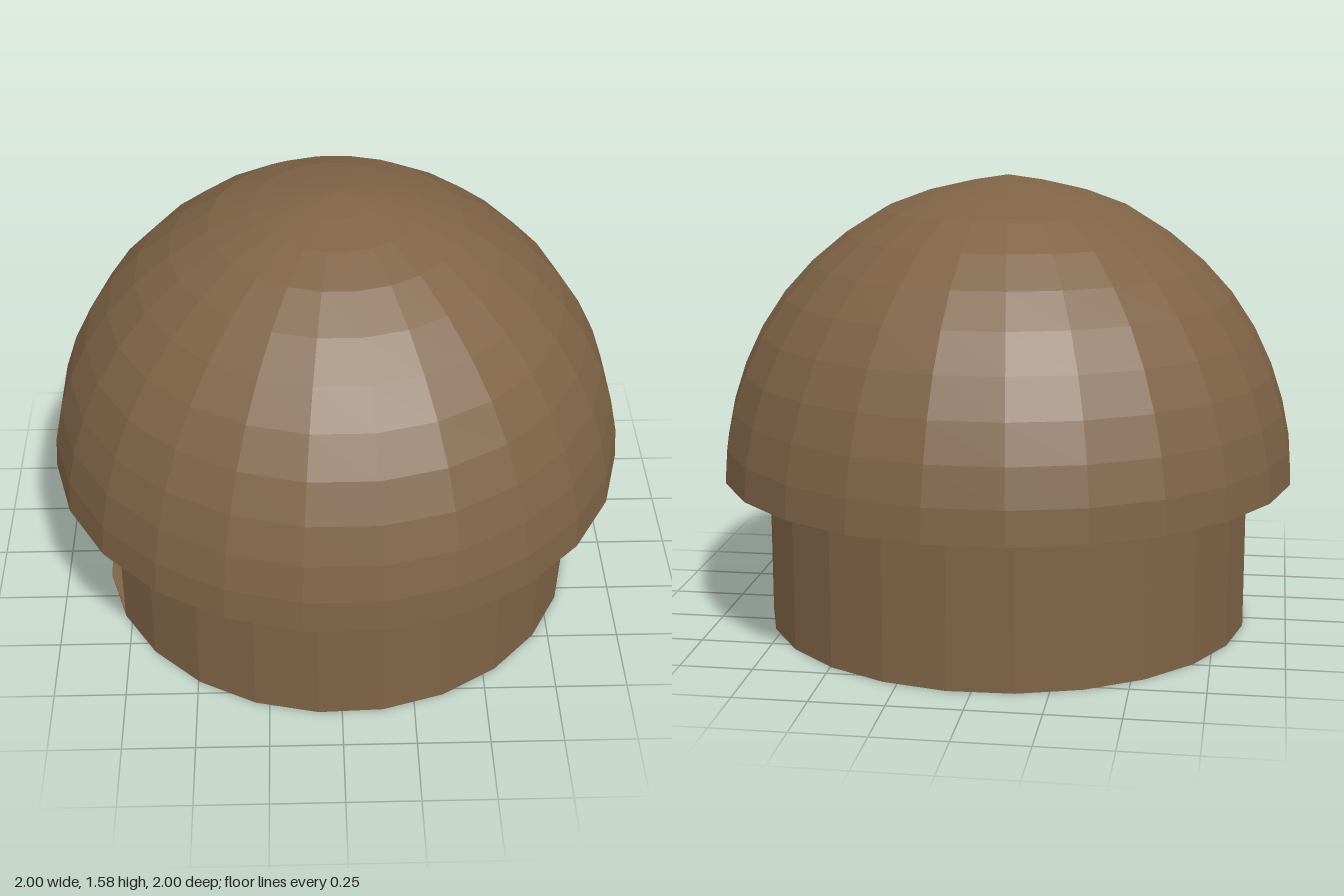
import * as THREE from 'three';

const SIDES = 24;
const STEP = (Math.PI * 2) / SIDES;
const WALL_R = 0.853, CORE_R = 0.78, WALL_TOP = 0.72;
const DOOR_END = THREE.MathUtils.degToRad(-65.5); // wall starts here, doorway is the two facets before it
const DOOR_FACETS = 2;

export function createModel() {
  const group = new THREE.Group();
  const brown = new THREE.MeshStandardMaterial({ color: 0x7f6346, flatShading: true, side: THREE.DoubleSide });
  brown.name = 'brown';
  const black = new THREE.MeshStandardMaterial({ color: 0x080808, flatShading: true });
  black.name = 'black';

  const add = (name, geometry, material, y = 0) => {
    const mesh = new THREE.Mesh(geometry, material);
    mesh.name = name;
    mesh.position.y = y;
    group.add(mesh);
  };

  // Faceted round wall, left open at the doorway
  const ringPoint = (r, i) => {
    const a = DOOR_END + i * STEP;
    return new THREE.Vector2(r * Math.sin(a), -r * Math.cos(a));
  };
  const outer = [], inner = [];
  for (let i = 0; i <= SIDES - DOOR_FACETS; i++) {
    outer.push(ringPoint(WALL_R, i));
    inner.unshift(ringPoint(CORE_R, i));
  }
  const wall = new THREE.ExtrudeGeometry(new THREE.Shape([...outer, ...inner]), { depth: WALL_TOP, bevelEnabled: false });
  wall.rotateX(-Math.PI / 2);
  add('wall', wall, brown);

  // Floor plate, also the doorstep
  add('floor', new THREE.CylinderGeometry(WALL_R - 0.001, WALL_R - 0.001, 0.006, SIDES, 1, false, DOOR_END), brown, 0.003);

  // Dark interior behind the doorway
  const coreHeight = WALL_TOP - 0.008;
  add('darkInterior', new THREE.CylinderGeometry(CORE_R - 0.001, CORE_R - 0.001, coreHeight, SIDES, 1, false, DOOR_END),
    black, 0.007 + coreHeight / 2);

  // Overhanging domed roof with a slight point
  const profile = [
    [1.0085, 0.535], [1.0, 0.65], [0.973, 0.78], [0.93, 0.91], [0.868, 1.04], [0.785, 1.165], [0.685, 1.275],
    [0.565, 1.375], [0.43, 1.46], [0.285, 1.515], [0.14, 1.55], [0, 1.575],
  ].map(([r, y]) => new THREE.Vector2(r, y));
  add('domeRoof', new THREE.LatheGeometry(profile, SIDES, STEP / 2), brown);

  return group;
}
